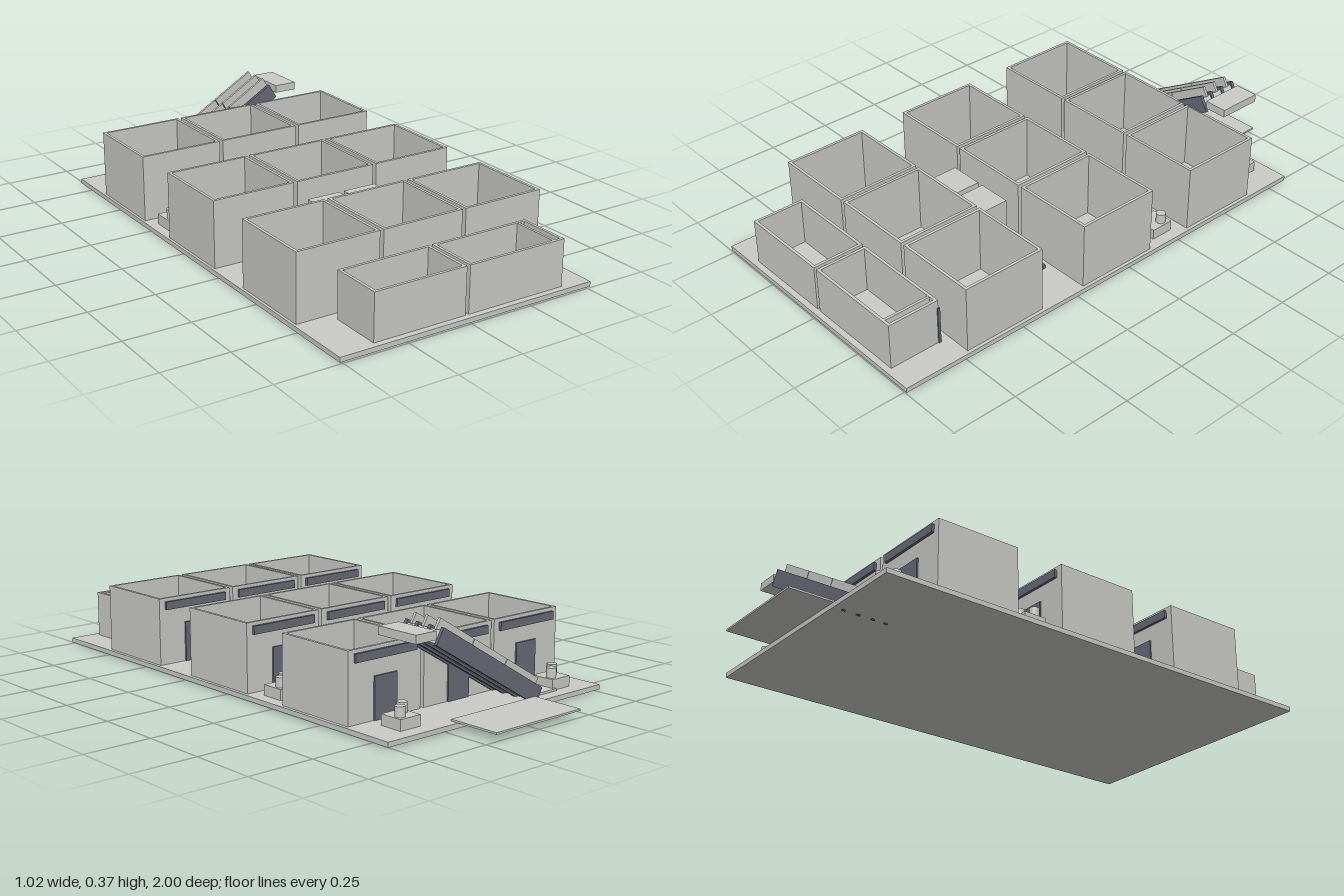
import * as THREE from 'three';

const concrete = new THREE.MeshStandardMaterial({ color: 0xcacac7 });
concrete.name = 'light concrete';
const slate = new THREE.MeshStandardMaterial({ color: 0x676a77 });
slate.name = 'dark slate';

// Box given by its lower and upper corners
function slab(parent, name, mat, [x0, y0, z0], [x1, y1, z1]) {
  const mesh = new THREE.Mesh(new THREE.BoxGeometry(x1 - x0, y1 - y0, z1 - z0), mat);
  mesh.position.set((x0 + x1) / 2, (y0 + y1) / 2, (z0 + z1) / 2);
  mesh.name = name;
  parent.add(mesh);
  return mesh;
}

const FLOOR = 0.027;

// Open-topped room: one extruded ring of wall
function room(parent, name, x0, x1, z0, z1, height, t = 0.011) {
  const rect = (s, a, b, c, d) => s.moveTo(a, c).lineTo(b, c).lineTo(b, d).lineTo(a, d).closePath();
  const shape = rect(new THREE.Shape(), x0, x1, -z1, -z0);
  shape.holes.push(rect(new THREE.Path(), x0 + t, x1 - t, -z1 + t, -z0 - t));
  const geo = new THREE.ExtrudeGeometry(shape, { depth: height, bevelEnabled: false });
  geo.rotateX(-Math.PI / 2);
  const mesh = new THREE.Mesh(geo, concrete);
  mesh.position.y = FLOOR;
  mesh.name = name;
  parent.add(mesh);
}

// Square planter with two round pots
function planter(parent, x, z) {
  const g = new THREE.Group();
  g.name = 'planter';
  g.position.set(x, 0, z);
  slab(g, 'planterBox', concrete, [-0.045, FLOOR, -0.045], [0.045, 0.066, 0.045]);
  for (const s of [-1, 1]) {
    const pot = new THREE.Mesh(new THREE.CylinderGeometry(0.018, 0.018, 0.036, 20), concrete);
    pot.position.set(s * 0.02, 0.084, -s * 0.016);
    pot.name = 'pot';
    g.add(pot);
  }
  parent.add(g);
}

// Three-lane escalator climbing toward +x
function escalator(parent) {
  const g = new THREE.Group();
  g.name = 'escalator';
  g.position.set(0.0165, 0.1745, 0);
  g.rotation.z = THREE.MathUtils.degToRad(30.6);
  const L = 0.281;
  const rails = [-0.794, -0.737, -0.68, -0.629];
  for (const z of rails) {
    slab(g, 'stringer', slate, [-L, -0.032, z - 0.006], [L, 0.032, z + 0.006]);
  }
  for (let i = 0; i < 3; i++) {
    const a = rails[i] + 0.006, b = rails[i + 1] - 0.006, mid = (a + b) / 2;
    slab(g, 'ramp', concrete, [-L + 0.005, -0.025, a], [L - 0.005, 0.022, b]);
    // balustrade in three lengths
    for (let k = 0; k < 3; k++) {
      const s = -L + 0.004 + k * 0.187;
      slab(g, 'balustrade', concrete, [s, 0.02, mid - 0.005], [s + 0.184, 0.06, mid + 0.005]);
    }
  }
  parent.add(g);
  slab(parent, 'upperLanding', concrete, [0.272, 0.308, -0.797], [0.363, 0.338, -0.622]);
  slab(parent, 'lowerLanding', concrete, [-0.335, 0.022, -0.785], [-0.235, 0.035, -0.635]);
}

export function createModel() {
  const model = new THREE.Group();
  model.name = 'shoppingArcade';

  // Ground plate and rear forecourt
  slab(model, 'groundPlate', concrete, [-0.512, 0.009, -0.831], [0.512, FLOOR, 1]);
  slab(model, 'forecourt', concrete, [-0.205, 0.027, -1], [0.203, 0.034, -0.8]);

  // Three rows of three shops, each with a rear door and sign board
  for (const z of [-0.629, -0.11, 0.408]) {
    for (const x of [-0.34, -0.0015, 0.337]) {
      const shop = new THREE.Group();
      shop.name = 'shop';
      room(shop, 'shopWalls', x - 0.162, x + 0.162, z, z + 0.329, 0.251);
      slab(shop, 'shopDoor', slate, [x - 0.05, FLOOR, z - 0.006], [x + 0.05, 0.177, z]);
      slab(shop, 'signBoard', slate, [x - 0.137, 0.235, z - 0.01], [x + 0.137, 0.265, z]);
      model.add(shop);
    }
  }

  // Lower front rooms with fittings
  room(model, 'frontRoomRight', -0.37, -0.008, 0.776, 0.977, 0.174);
  room(model, 'frontRoomLeft', 0.005, 0.402, 0.776, 0.977, 0.174);
  slab(model, 'partition', concrete, [0.36, FLOOR, 0.787], [0.37, 0.2, 0.966]);
  slab(model, 'frontRoomDoor', slate, [0.4, FLOOR, 0.772], [0.406, 0.17, 0.782]);
  for (const x of [-0.36, 0.015]) {
    for (const d of [0, 0.052, 0.235]) {
      slab(model, 'cubicle', concrete, [x + d, FLOOR, 0.915], [x + d + 0.046, 0.075, 0.966]);
    }
    slab(model, 'counter', concrete, [x + 0.098, FLOOR, 0.945], [x + 0.235, 0.065, 0.966]);
    slab(model, 'basin', concrete, [x + 0.13, FLOOR, 0.925], [x + 0.225, 0.055, 0.945]);
  }

  // Two lift shafts and the tilted hatch beside them
  for (const x of [-0.145, 0.008]) {
    slab(model, 'liftShaft', concrete, [x, FLOOR, 0.257], [x + 0.132, 0.22, 0.388]);
  }
  slab(model, 'hatchFrame', slate, [0.174, FLOOR, 0.245], [0.335, 0.041, 0.406]);
  const hatch = slab(model, 'hatchPanel', concrete, [0.184, 0.053, 0.25], [0.327, 0.059, 0.388]);
  hatch.rotation.x = -0.24;

  // Planters
  for (const s of [-1, 1]) {
    planter(model, s * 0.425 - 0.004, -0.205);
    planter(model, s * 0.365 - 0.004, -0.73);
  }

  escalator(model);
  return model;
}
